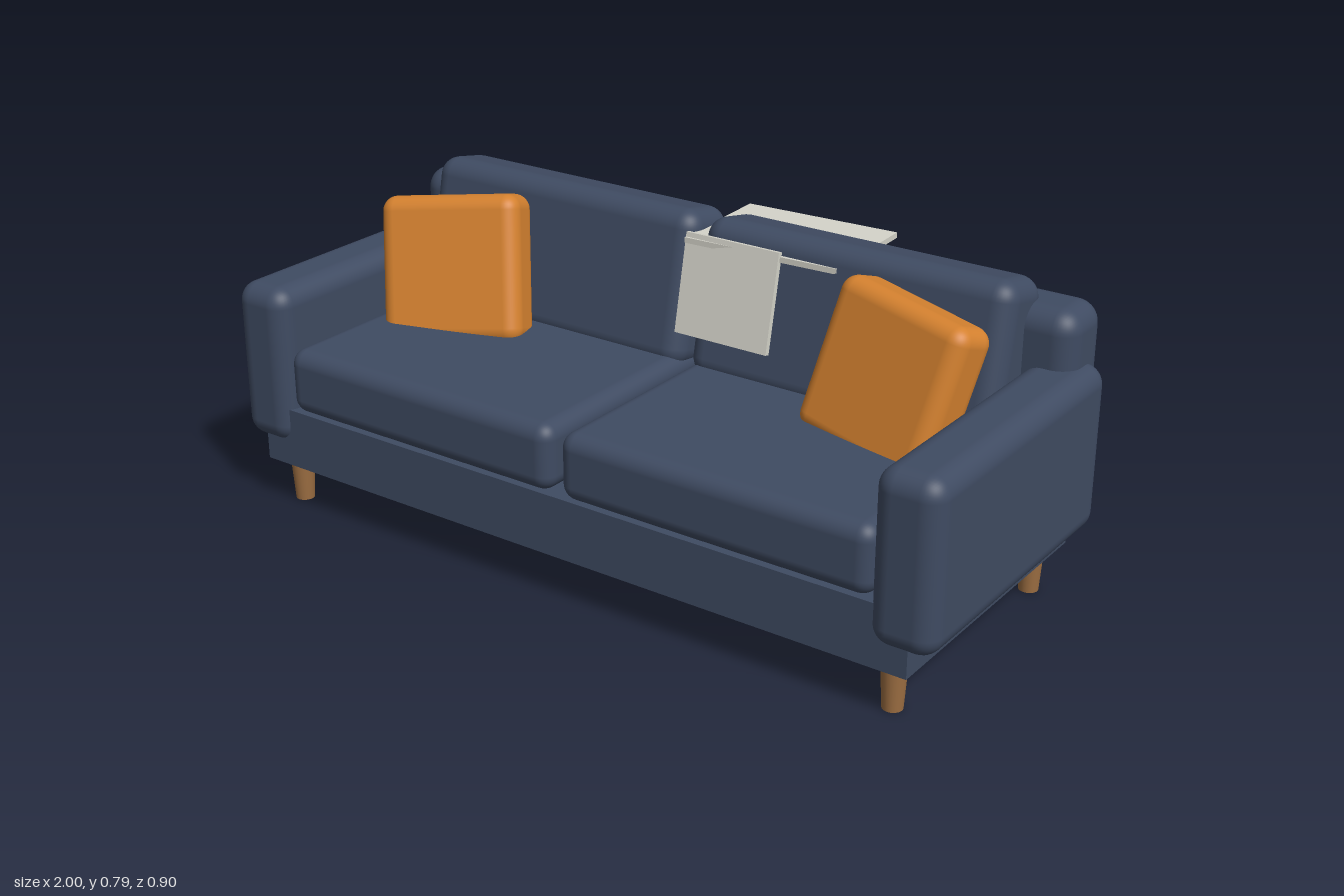
import * as THREE from 'three';
import { RoundedBoxGeometry } from 'three/addons/geometries/RoundedBoxGeometry.js';

export function createModel() {
  const sofa = new THREE.Group();
  sofa.name = 'sofa';

  const material = (name, color) => {
    const m = new THREE.MeshStandardMaterial({ color });
    m.name = name;
    return m;
  };
  const fabric = material('navy fabric', 0x3f4b62);
  const orange = material('orange fabric', 0xd4812f);
  const wood = material('wood', 0x9c6e42);
  const wool = material('pale wool', 0xd5d4ca);

  const add = (name, geometry, mat, position, rotation = [0, 0, 0]) => {
    const mesh = new THREE.Mesh(geometry, mat);
    mesh.name = name;
    mesh.position.set(...position);
    mesh.rotation.set(...rotation, 'YXZ');
    sofa.add(mesh);
    return mesh;
  };
  const soft = (w, h, d, r) => new RoundedBoxGeometry(w, h, d, 5, r);

  // Frame
  add('base', new THREE.BoxGeometry(1.87, 0.155, 0.76), fabric, [0, 0.1945, 0.05]);
  add('backrest', soft(1.92, 0.532, 0.17, 0.055), fabric, [0, 0.459, -0.305]);

  // Arms, cushions and legs on both sides
  for (const side of [-1, 1]) {
    const label = side > 0 ? 'left' : 'right';
    const cushionX = side > 0 ? 0.425 : -0.43;
    add(label + 'Arm', soft(0.162, 0.415, 0.796, 0.05), fabric, [side * 0.919, 0.382, 0.05]);
    add(label + 'SeatCushion', soft(0.828, 0.17, 0.65, 0.04), fabric, [cushionX, 0.352, 0.105]);
    add(label + 'BackCushion', soft(0.83, 0.4, 0.18, 0.05), fabric,
      [cushionX, 0.586, -0.2025], [-0.2, 0, 0]);
    for (const [end, z] of [['Front', 0.372], ['Back', -0.275]]) {
      add(label + end + 'Leg', new THREE.CylinderGeometry(0.031, 0.024, 0.12, 24), wood,
        [side * 0.875, 0.06, z]);
    }
  }

  // Scatter pillows leaning against the back
  add('rightPillow', soft(0.38, 0.38, 0.13, 0.04), orange, [-0.648, 0.566, 0], [-0.3, 0.28, 0.12]);
  add('leftPillow', soft(0.38, 0.38, 0.13, 0.04), orange, [0.622, 0.566, -0.018], [-0.3, -0.21, -0.11]);

  // Folded throw: one flap over the back, one hanging down the front
  add('throwTop', new THREE.BoxGeometry(0.415, 0.014, 0.31), wool, [0.18, 0.738, -0.285], [0, 0.05, 0]);
  add('throwFront', new THREE.BoxGeometry(0.265, 0.25, 0.014), wool, [0.112, 0.633, -0.111], [-0.2, 0, 0]);

  return sofa;
}
